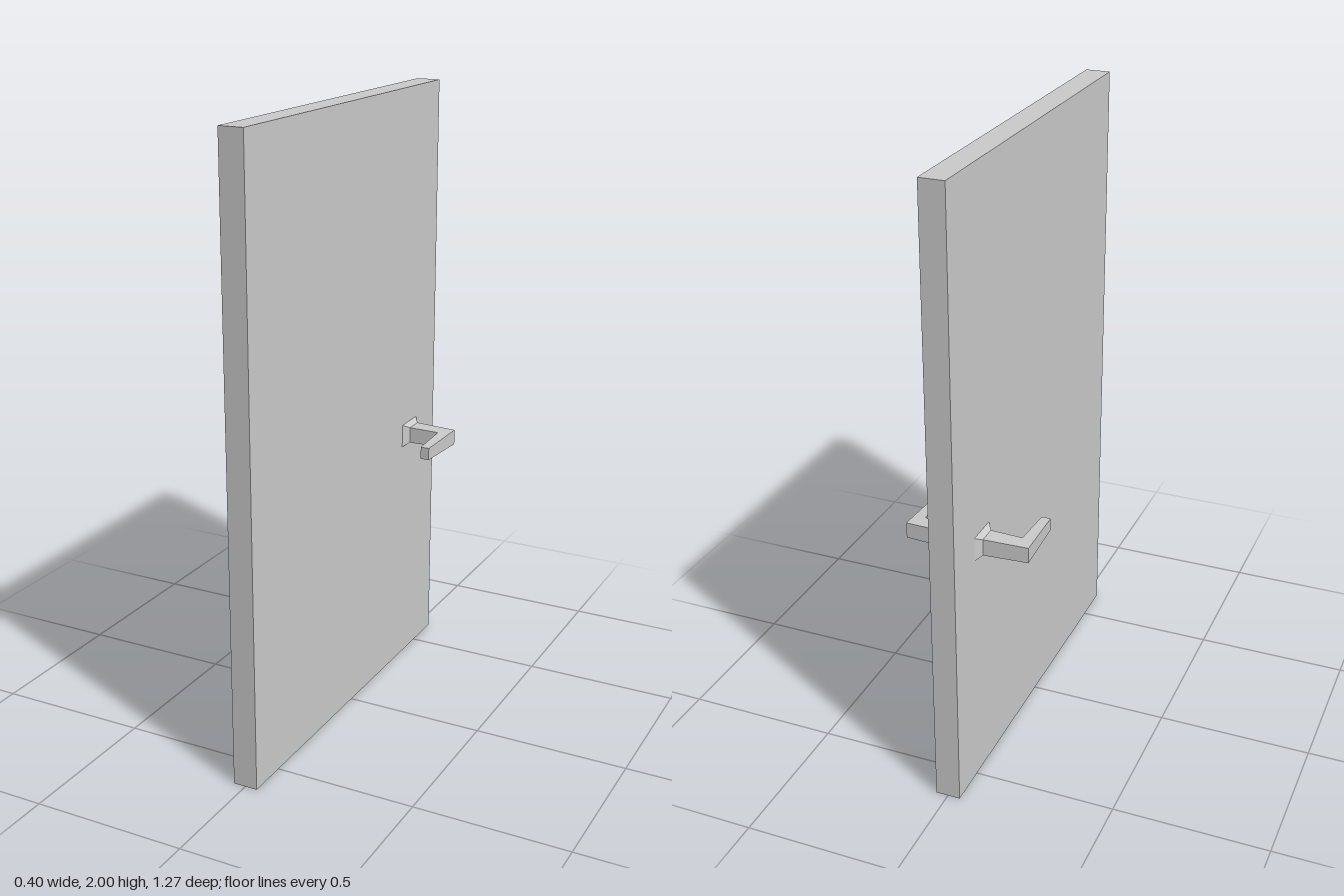
import * as THREE from 'three';

const material = new THREE.MeshStandardMaterial({ color: 0xcccccc, flatShading: true });

// Rectangular sections along the handle: inner [x, z], outer [x, z], bottom y, top y
const sections = [
  { inner: [0.04, -0.38], outer: [0.04, -0.49], y: [0.785, 0.863] },       // rose on the door
  { inner: [0.057, -0.405], outer: [0.057, -0.466], y: [0.796, 0.85] },    // neck
  { inner: [0.16, -0.407], outer: [0.2, -0.458], y: [0.797, 0.848] },      // mitred elbow
  { inner: [0.164, -0.26], outer: [0.193, -0.26], y: [0.802, 0.843] },     // grip tip
];

// Lofts the sections into a closed handle; side is +1 (left) or -1 (right)
function handleGeometry(side) {
  const positions = [];
  const index = [];
  for (const { inner, outer, y } of sections) {
    for (const [p, h] of [[inner, y[0]], [outer, y[0]], [outer, y[1]], [inner, y[1]]]) {
      positions.push(side * p[0], h, p[1]);
    }
  }
  const quad = (a, b, c, d) =>
    side > 0 ? index.push(a, b, c, a, c, d) : index.push(a, c, b, a, d, c);
  for (let s = 0; s < sections.length - 1; s++) {
    for (let k = 0; k < 4; k++) {
      const a = s * 4 + k;
      const b = s * 4 + ((k + 1) % 4);
      quad(a, b, b + 4, a + 4);
    }
  }
  const e = (sections.length - 1) * 4;
  quad(3, 2, 1, 0);
  quad(e, e + 1, e + 2, e + 3);

  const indexed = new THREE.BufferGeometry();
  indexed.setAttribute('position', new THREE.Float32BufferAttribute(positions, 3));
  indexed.setIndex(index);
  const geometry = indexed.toNonIndexed();
  geometry.computeVertexNormals();
  return geometry;
}

export function createModel() {
  const model = new THREE.Group();
  model.name = 'door';

  // Door leaf
  const panel = new THREE.Mesh(new THREE.BoxGeometry(0.08, 2, 1.268), material);
  panel.name = 'doorPanel';
  panel.position.y = 1;
  model.add(panel);

  // A lever handle on each face
  for (const side of [1, -1]) {
    const handle = new THREE.Mesh(handleGeometry(side), material);
    handle.name = side > 0 ? 'leftHandle' : 'rightHandle';
    model.add(handle);
  }
  return model;
}
